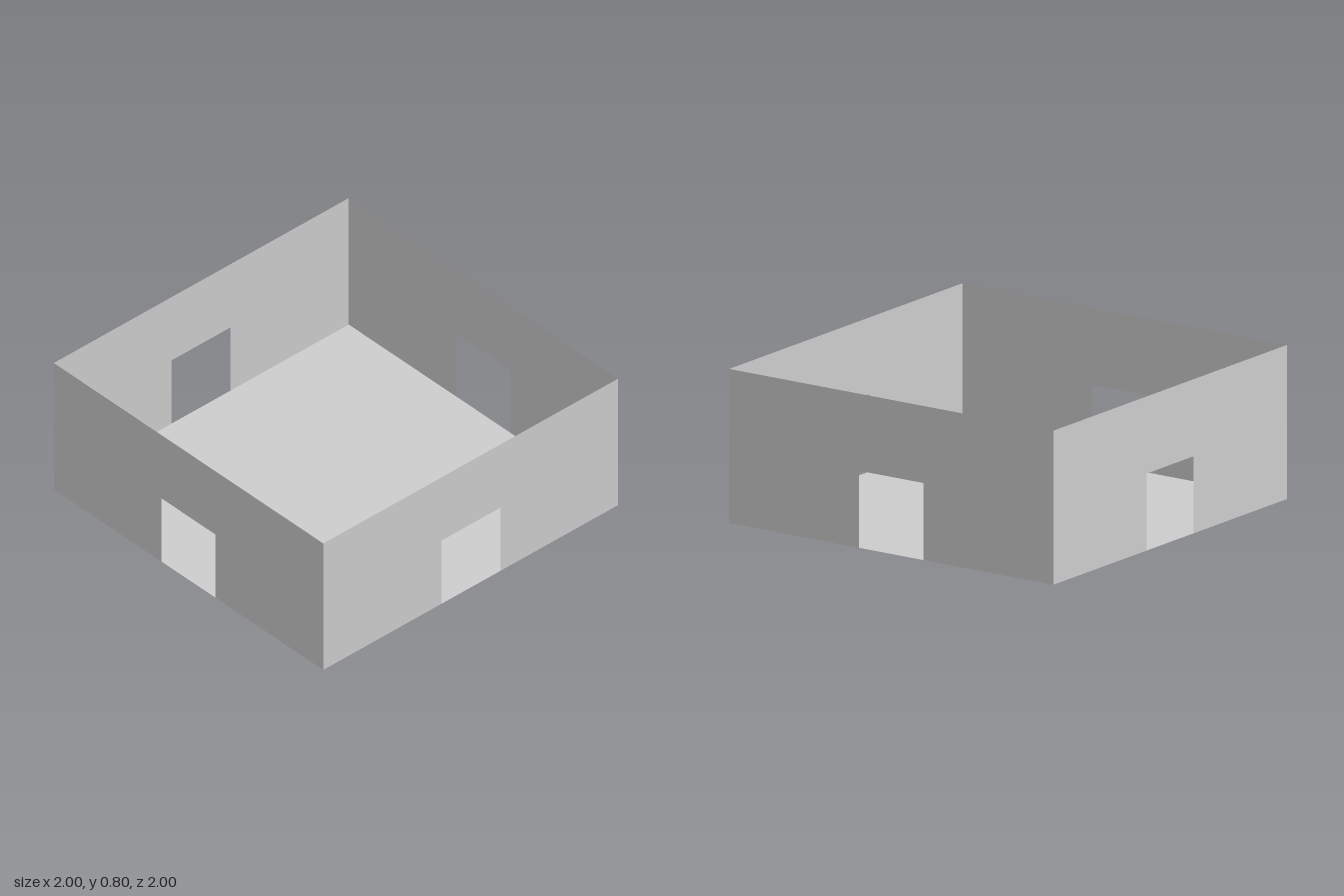
import * as THREE from 'three';

const SIZE = 2, HEIGHT = 0.8, DOOR_WIDTH = 0.4, DOOR_HEIGHT = 0.4;

export function createModel() {
  const group = new THREE.Group();
  group.name = 'openRoom';

  const grey = new THREE.MeshStandardMaterial({ color: 0xcccccc, side: THREE.DoubleSide });
  grey.name = 'light grey';

  // Floor sheet
  const floor = new THREE.Mesh(new THREE.PlaneGeometry(SIZE, SIZE).rotateX(-Math.PI / 2), grey);
  floor.name = 'floor';
  group.add(floor);

  // Wall sheet with a doorway cut from its bottom edge
  const s = SIZE / 2, d = DOOR_WIDTH / 2;
  const outline = [
    [-s, 0], [-d, 0], [-d, DOOR_HEIGHT], [d, DOOR_HEIGHT],
    [d, 0], [s, 0], [s, HEIGHT], [-s, HEIGHT],
  ].map(([x, y]) => new THREE.Vector2(x, y));
  const wallGeometry = new THREE.ShapeGeometry(new THREE.Shape(outline)).translate(0, 0, s);

  // Same wall on all four sides
  ['frontWall', 'leftWall', 'backWall', 'rightWall'].forEach((name, i) => {
    const wall = new THREE.Mesh(wallGeometry, grey);
    wall.name = name;
    wall.rotation.y = i * Math.PI / 2;
    group.add(wall);
  });

  return group;
}
